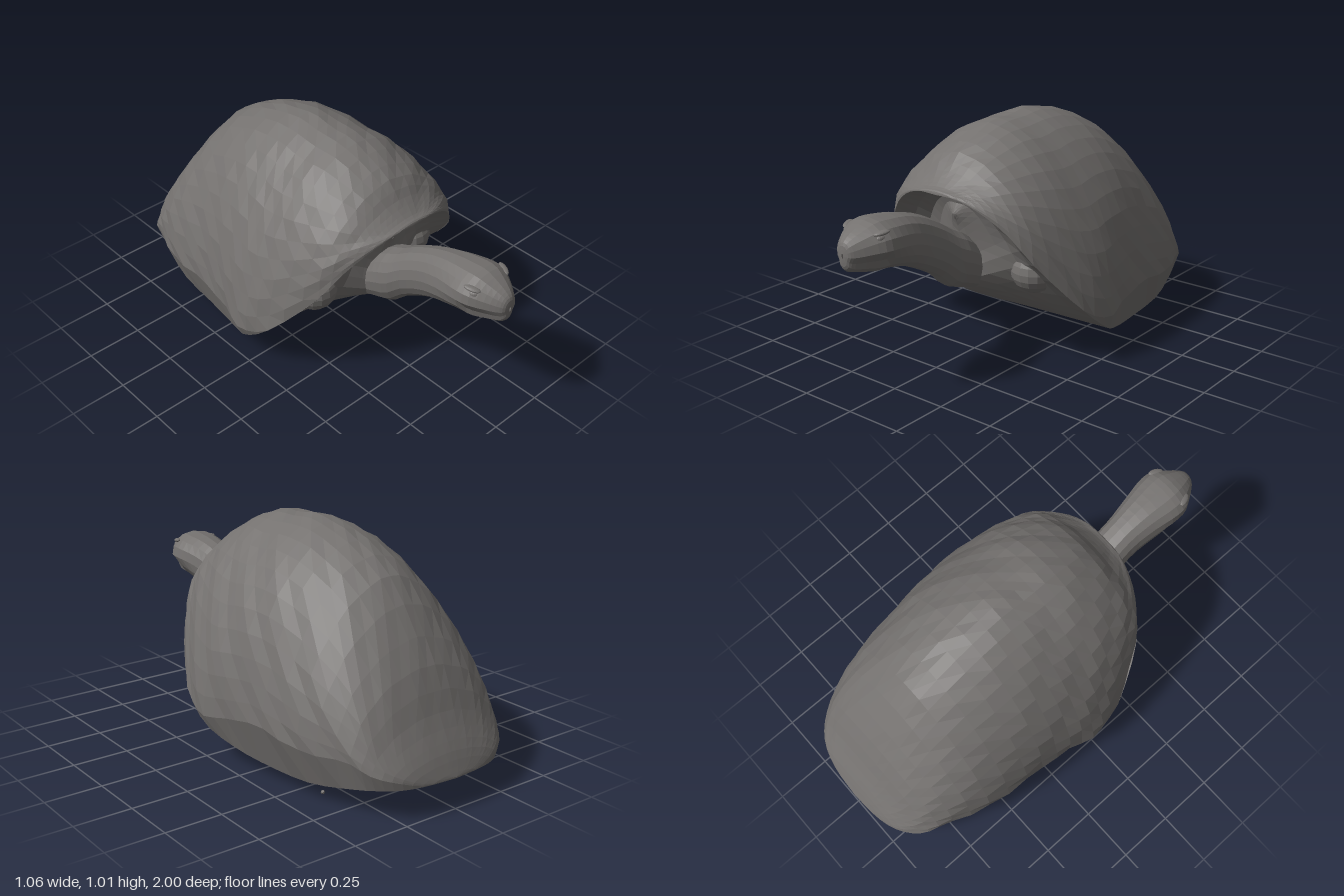
import * as THREE from 'three';

// Surface over a rows x cols grid of [x, y, z] points
function gridSurface(rows, flip = false) {
  const n = rows[0].length, index = [];
  for (let i = 0; i < rows.length - 1; i++) {
    for (let j = 0; j < n - 1; j++) {
      const a = i * n + j, b = a + n, c = a + 1, d = b + 1;
      if (flip) index.push(a, c, b, c, d, b);
      else index.push(a, b, c, c, b, d);
    }
  }
  const geo = new THREE.BufferGeometry();
  geo.setAttribute('position', new THREE.Float32BufferAttribute(rows.flat(2), 3));
  geo.setIndex(index);
  geo.computeVertexNormals();
  return geo;
}

// Smoothly resample a table of cross-sections (columns in groups of three)
function resample(table, count) {
  const curves = [];
  for (let k = 0; k < table[0].length; k += 3) {
    curves.push(new THREE.CatmullRomCurve3(
      table.map(r => new THREE.Vector3(r[k], r[k + 1] ?? 0, r[k + 2] ?? 0)), false, 'catmullrom', 0.5));
  }
  return Array.from({ length: count }, (_, i) =>
    curves.flatMap(c => c.getPoint(i / (count - 1)).toArray()));
}

// z, rim half width, rim height, crown height, greatest half width, belly height, belly z
const SHELL = [
  [0.48, 0.0, 0.757, 0.76, 0.0, 0.63, 0.37],
  [0.475, 0.10, 0.755, 0.772, 0.10, 0.62, 0.36],
  [0.45, 0.20, 0.715, 0.785, 0.20, 0.56, 0.34],
  [0.40, 0.30, 0.63, 0.83, 0.30, 0.45, 0.33],
  [0.32, 0.40, 0.48, 0.915, 0.40, 0.33, 0.34],
  [0.15, 0.495, 0.28, 0.99, 0.495, 0.225, 0.17],
  [0.0, 0.51, 0.16, 1.0, 0.525, 0.14, 0.0],
  [-0.15, 0.46, 0.085, 1.012, 0.505, 0.075, -0.15],
  [-0.35, 0.42, 0.057, 0.965, 0.485, 0.065, -0.35],
  [-0.6, 0.40, 0.07, 0.83, 0.45, 0.07, -0.6],
  [-0.8, 0.35, 0.105, 0.56, 0.39, 0.105, -0.8],
  [-0.9, 0.31, 0.125, 0.345, 0.33, 0.12, -0.9],
  [-0.96, 0.24, 0.13, 0.23, 0.25, 0.128, -0.96],
  [-0.99, 0.14, 0.132, 0.16, 0.14, 0.13, -0.99],
  [-1.0, 0.0, 0.13, 0.135, 0.0, 0.13, -1.0],
];

// z, top, bottom, half width
const NECK = [
  [0.26, 0.50, 0.29, 0.10],
  [0.36, 0.58, 0.325, 0.11],
  [0.43, 0.615, 0.35, 0.105],
  [0.50, 0.66, 0.415, 0.092],
  [0.60, 0.71, 0.475, 0.09],
  [0.70, 0.742, 0.52, 0.105],
  [0.80, 0.757, 0.545, 0.12],
  [0.87, 0.76, 0.55, 0.117],
  [0.93, 0.737, 0.563, 0.085],
  [0.975, 0.712, 0.575, 0.052],
  [0.995, 0.69, 0.597, 0.03],
  [1.0, 0.655, 0.635, 0.004],
];

// Domed upper shell with gentle lumps that fade out at the rim
function shellGeometry(slices) {
  const half = 13;
  return gridSurface(slices.map(([z, xr, yr, top, w]) => {
    const wideY = Math.min(yr + Math.max(0, w - xr) * 3, top);
    const row = [];
    for (let j = -half; j <= half; j++) {
      const side = j < 0 ? 1 : -1, k = Math.abs(j);
      if (k === half) { row.push([side * xr, yr, z]); continue; }
      const a = k / (half - 1) * Math.PI / 2;
      const s = Math.sin(a), c = Math.max(0, Math.cos(a));
      const lump = 0.009 * Math.sin(z * 21 + k * 0.7) * Math.sin(k * 1.25 + z * 9)
        * Math.min(1, (top - yr) * 3);
      const x = (w + lump) * Math.pow(s, 1.1);
      const y = wideY + (top - wideY + lump * 0.6) * Math.pow(c, 1.1);
      row.push([side * x, y, z]);
    }
    return row;
  }));
}

// Underside: hollow behind the front rim, nearly flat further back
function bellyGeometry(slices) {
  const half = 6;
  return gridSurface(slices.map(([z, xr, yr, , , by, bz]) => {
    const row = [];
    const hollow = THREE.MathUtils.smoothstep(z, 0.0, 0.4);
    for (let j = -half; j <= half; j++) {
      const s = Math.abs(j) / half, dip = Math.sin(Math.PI * Math.pow(s, 1.6));
      row.push([
        -Math.sign(j) * xr * s,
        by + (yr - by) * s,
        bz + (z - bz) * s - 0.08 * hollow * dip,
      ]);
    }
    return row;
  }), true);
}

// Neck and head in one loft, with a mouth crease near the snout
function neckGeometry() {
  const sides = 16;
  return gridSurface(resample(NECK, 27).map(([z, top, bottom, w]) => {
    const mid = (top + bottom) / 2, h = (top - bottom) / 2;
    const head = THREE.MathUtils.smoothstep(z, 0.7, 0.85);
    const row = [];
    for (let j = 0; j <= sides; j++) {
      const a = j / sides * Math.PI * 2, s = Math.sin(a), c = Math.cos(a);
      const crease = z > 0.85 && (j === 5 || j === 11) ? 0.84 : 1;
      const taper = 1 + head * (c < 0 ? 0.18 * c : 0.05);
      row.push([
        Math.sign(s) * Math.pow(Math.abs(s), 0.9) * w * taper * crease,
        mid + Math.sign(c) * Math.pow(Math.abs(c), 0.95) * h, z]);
    }
    return row;
  }));
}

export function createModel() {
  const group = new THREE.Group();
  const stone = new THREE.MeshStandardMaterial({
    color: 0x74716f, flatShading: true, side: THREE.DoubleSide,
  });
  stone.name = 'warm grey';

  const add = (name, geo, pos = [0, 0, 0], scale = [1, 1, 1], rot = [0, 0, 0]) => {
    const mesh = new THREE.Mesh(geo, stone);
    mesh.name = name;
    mesh.position.set(...pos);
    mesh.scale.set(...scale);
    mesh.rotation.set(...rot);
    group.add(mesh);
  };

  const slices = resample(SHELL, 37);
  add('shell', shellGeometry(slices));
  add('belly', bellyGeometry(slices));
  add('neckAndHead', neckGeometry());

  // Mirrored details
  const ball = new THREE.SphereGeometry(1, 16, 10);
  for (const [side, s] of [['left', 1], ['right', -1]]) {
    add(side + 'Shoulder', ball, [0.28 * s, 0.42, 0.19], [0.1, 0.1, 0.1]);
    add(side + 'Eye', ball, [0.089 * s, 0.703, 0.885], [0.014, 0.014, 0.022], [0, -0.4 * s, 0]);
    add(side + 'Brow', ball, [0.09 * s, 0.724, 0.88], [0.016, 0.009, 0.035], [0.15, -0.4 * s, 0]);
  }

  // Small loose fragment on the ground
  add('pebble', new THREE.IcosahedronGeometry(0.009, 0), [0.33, 0.0085, -0.59]);
  return group;
}
